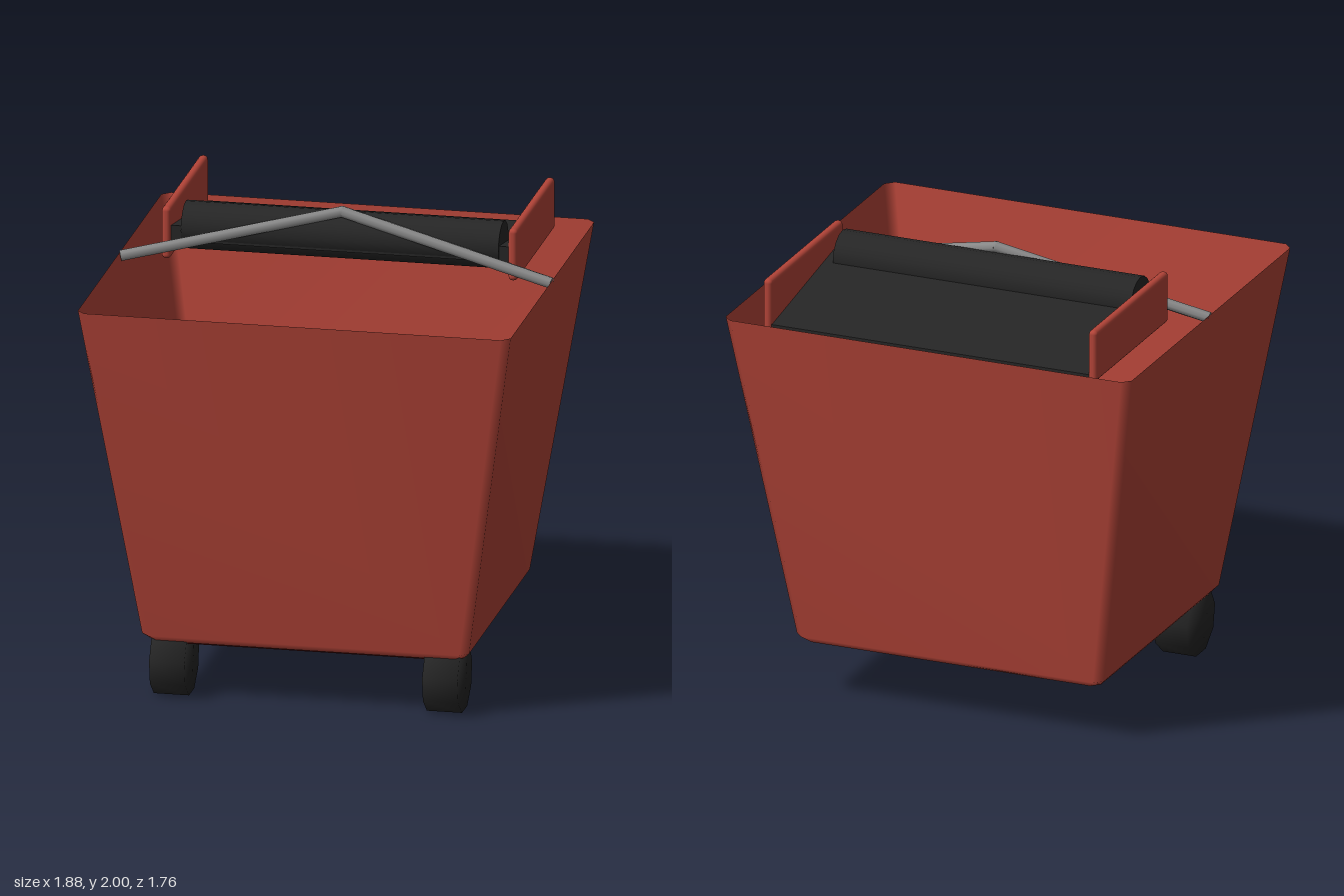
import * as THREE from 'three';
import { mergeVertices } from 'three/addons/utils/BufferGeometryUtils.js';
import { RoundedBoxGeometry } from 'three/addons/geometries/RoundedBoxGeometry.js';

const material = (name, color, side = THREE.FrontSide) => {
  const m = new THREE.MeshStandardMaterial({ color, side });
  m.name = name;
  return m;
};

// Open tapered tub: chamfered rectangular rings joined by walls, closed by a floor
function tubGeometry() {
  const rings = [
    { y: 1.77, x: 0.94, z: 0.88, c: 0.035 },
    { y: 0.28, x: 0.71, z: 0.65, c: 0.035 },
    { y: 0.247, x: 0.68, z: 0.61, c: 0.035 },
  ];
  const pos = [], idx = [];
  for (const { y, x, z, c } of rings) {
    const corners = [[x, z - c], [x - c, z], [c - x, z], [-x, z - c],
      [-x, c - z], [c - x, -z], [x - c, -z], [x, c - z]];
    for (const [px, pz] of corners) pos.push(px, y, pz);
  }
  for (let r = 0; r < 2; r++) {
    for (let i = 0; i < 8; i++) {
      const a = r * 8 + i, b = r * 8 + (i + 1) % 8;
      idx.push(a, b, a + 8, b, b + 8, a + 8);
    }
  }
  for (let i = 1; i < 7; i++) idx.push(16, 16 + i, 17 + i);
  const g = new THREE.BufferGeometry();
  g.setAttribute('position', new THREE.Float32BufferAttribute(pos, 3));
  g.setIndex(idx);
  g.computeVertexNormals();
  return g;
}

// Nine-sided wheel, flat side down, with soft blended shading
function wheelGeometry() {
  let g = new THREE.CylinderGeometry(0.153, 0.153, 0.153, 9);
  g.deleteAttribute('normal');
  g.deleteAttribute('uv');
  g = mergeVertices(g, 1e-4);
  g.rotateZ(Math.PI / 2);
  g.computeBoundingBox();
  // Turn one corner straight up
  const p = g.attributes.position;
  const corner = Math.atan2(p.getZ(0), p.getY(0));
  g.rotateX(-corner);
  g.computeVertexNormals();
  return g;
}

export function createModel() {
  const model = new THREE.Group();
  model.name = 'wheeledBin';
  const red = material('red', 0xb34438);
  const redShell = material('redShell', 0xb34438, THREE.DoubleSide);
  const black = material('black', 0x262626);
  const grey = material('grey', 0x888888);
  const darkRed = material('darkRed', 0x420c0e);

  const add = (name, geometry, mat, x = 0, y = 0, z = 0) => {
    const mesh = new THREE.Mesh(geometry, mat);
    mesh.name = name;
    mesh.position.set(x, y, z);
    model.add(mesh);
    return mesh;
  };

  add('tub', tubGeometry(), redShell);

  // Axle set flush in the floor
  add('axle', new THREE.BoxGeometry(1.06, 0.03, 0.17), darkRed, 0, 0.255, 0.515);

  // Sloping lid slab, drawn as a side profile
  const profile = new THREE.Shape([[0.83, 1.69], [0.83, 1.76], [0.08, 1.88], [0.08, 1.81]]
    .map(([u, v]) => new THREE.Vector2(u, v)));
  const slab = new THREE.ExtrudeGeometry(profile, { depth: 1.47, bevelEnabled: false });
  slab.translate(0, 0, -0.735);
  slab.rotateY(Math.PI / 2);
  add('lidSlab', slab, black);

  // Roller along the front edge of the lid
  const roller = new THREE.CylinderGeometry(0.103, 0.103, 1.38, 16);
  roller.rotateZ(Math.PI / 2);
  add('roller', roller, black, 0, 1.86, -0.175);

  const wheel = wheelGeometry();
  const apex = new THREE.Vector3(0, 1.975, -0.125);
  for (const s of [1, -1]) {
    const side = s > 0 ? 'left' : 'right';
    add(side + 'Wheel', wheel, black, s * 0.593, 0.144, 0.515);
    // Thin bracket showing above the wheel
    add(side + 'WheelBracket', new THREE.BoxGeometry(0.04, 0.06, 0.15), grey, s * 0.57, 0.263, 0.51);
    add(side + 'LidPanel', new RoundedBoxGeometry(0.04, 0.23, 0.775, 2, 0.018), red, s * 0.753, 1.848, -0.45);

    // Half of the bent handle bar
    const end = new THREE.Vector3(s * 0.935, 1.755, -0.005);
    const dir = end.clone().sub(apex);
    const length = dir.length();
    const bar = add(side + 'HandleBar', new THREE.CylinderGeometry(0.025, 0.025, length, 8), grey);
    bar.position.copy(apex).add(end).multiplyScalar(0.5);
    bar.quaternion.setFromUnitVectors(new THREE.Vector3(0, 1, 0), dir.normalize());
  }
  // Joint at the bend of the handle
  add('handleJoint', new THREE.SphereGeometry(0.025, 8, 6), grey, apex.x, apex.y, apex.z);

  return model;
}
